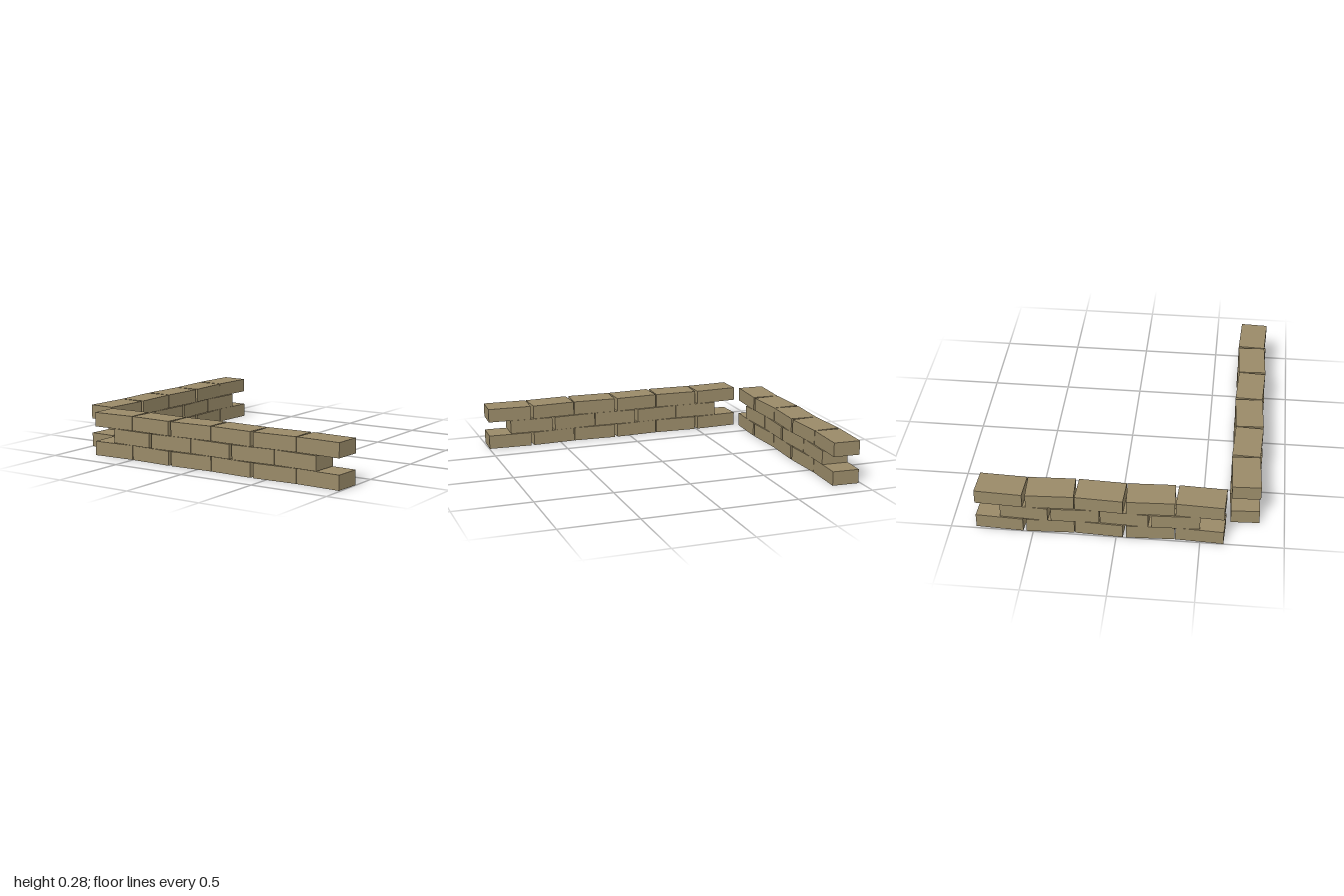
import * as THREE from 'three';

const PITCH = 0.3, LENGTH = 0.288, DEPTH = 0.174, HEIGHT = 0.09, ROW = 0.0925, TWIST = 0.045;

export function createModel() {
  const model = new THREE.Group();
  model.name = 'cornerWall';
  const stone = new THREE.MeshStandardMaterial({ color: 0x998a68 });
  stone.name = 'sandstone';
  const brick = new THREE.BoxGeometry(LENGTH, HEIGHT, DEPTH);

  // Three courses in running bond; bricks twist alternately, the middle course is one brick shorter
  function wall(name, count, firstTwist) {
    const group = new THREE.Group();
    group.name = name;
    for (let row = 0; row < 3; row++) {
      const middle = row === 1;
      const n = middle ? count - 1 : count;
      for (let i = 0; i < n; i++) {
        const mesh = new THREE.Mesh(brick, stone);
        mesh.name = middle ? 'middleBrick' : row === 0 ? 'bottomBrick' : 'topBrick';
        mesh.position.set((i - (n - 1) / 2) * PITCH, HEIGHT / 2 + row * ROW, 0);
        const sign = (i % 2 ? -1 : 1) * (middle ? -1 : 1);
        mesh.rotation.y = sign * firstTwist;
        group.add(mesh);
      }
    }
    model.add(group);
    return group;
  }

  // Long wall across the front
  wall('frontWall', 6, TWIST).position.set(0.1, 0, 0.755);

  // Shorter wall running back along the right side
  const side = wall('sideWall', 5, -TWIST);
  side.position.set(-0.905, 0, -0.1);
  side.rotation.y = Math.PI / 2;

  return model;
}
